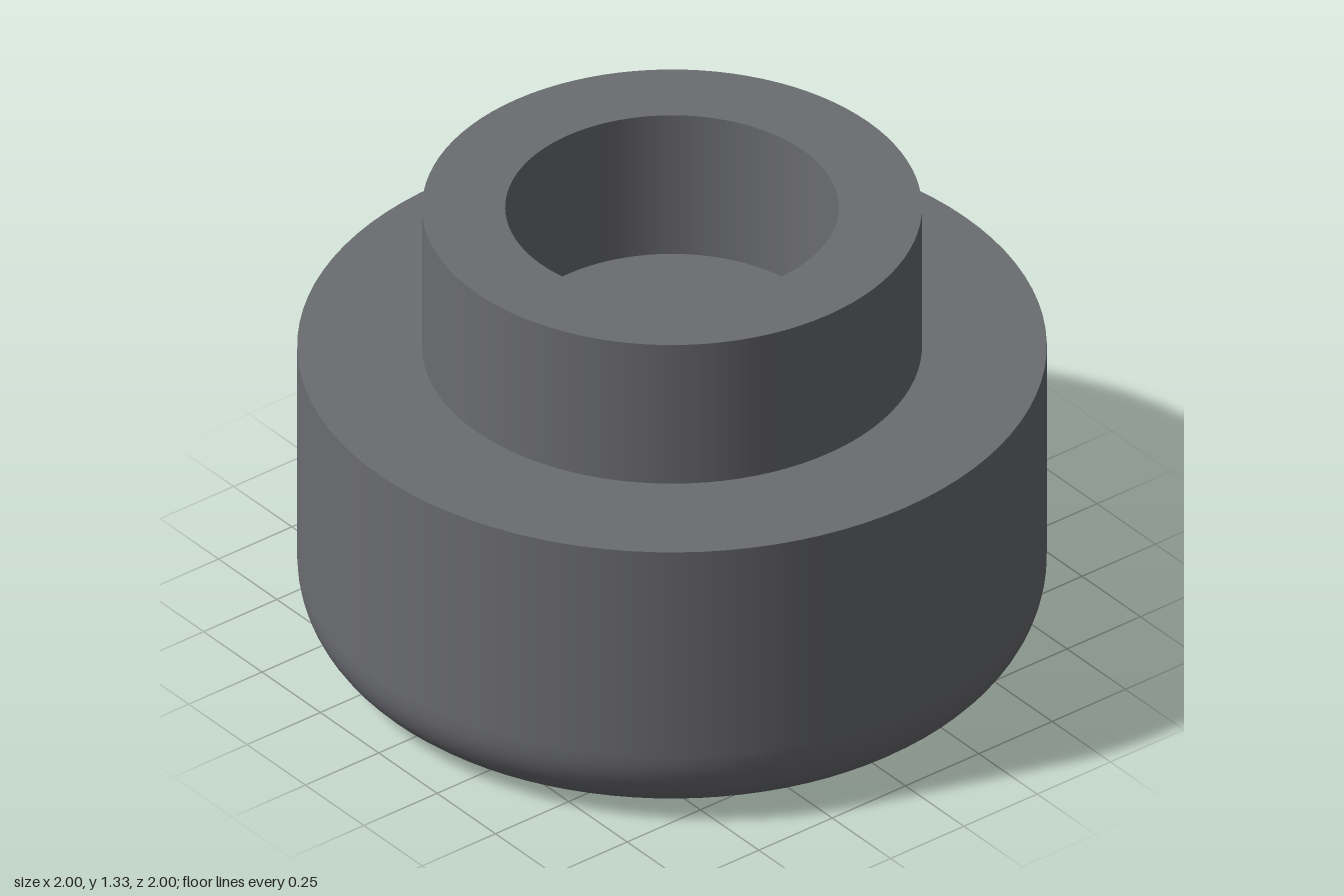
import * as THREE from 'three';

const SEGMENTS = 96;
const BODY_R = 1, NECK_R = 0.667, BORE_R = 0.445;
const SHOULDER_Y = 0.89, TOP_Y = 1.333, BORE_FLOOR_Y = 0.89, FILLET = 0.222;

export function createModel() {
  const model = new THREE.Group();
  model.name = 'steppedBushing';
  const grey = new THREE.MeshStandardMaterial({ color: 0x6b6c71 });
  grey.name = 'dark grey';

  // Each surface is its own lathe, so the rims between them stay sharp
  const addLathe = (name, points) => {
    const profile = points.map(([r, y]) => new THREE.Vector2(r, y));
    const mesh = new THREE.Mesh(new THREE.LatheGeometry(profile, SEGMENTS), grey);
    mesh.name = name;
    model.add(mesh);
  };

  // Body: flat base, rounded bottom edge, straight wall
  const body = [[0, 0], [BODY_R - FILLET - 0.01, 0]];
  for (let i = 0; i <= 12; i++) {
    const a = (i / 12) * Math.PI / 2;
    body.push([BODY_R - FILLET + FILLET * Math.sin(a), FILLET - FILLET * Math.cos(a)]);
  }
  body.push([BODY_R, FILLET + 0.01], [BODY_R, SHOULDER_Y]);
  addLathe('body', body);

  // Shoulder ring, neck and blind bore
  addLathe('shoulder', [[BODY_R, SHOULDER_Y], [NECK_R, SHOULDER_Y]]);
  addLathe('neckWall', [[NECK_R, SHOULDER_Y], [NECK_R, TOP_Y]]);
  addLathe('neckRim', [[NECK_R, TOP_Y], [BORE_R, TOP_Y]]);
  addLathe('boreWall', [[BORE_R, TOP_Y], [BORE_R, BORE_FLOOR_Y]]);
  addLathe('boreFloor', [[BORE_R, BORE_FLOOR_Y], [0, BORE_FLOOR_Y]]);

  return model;
}
